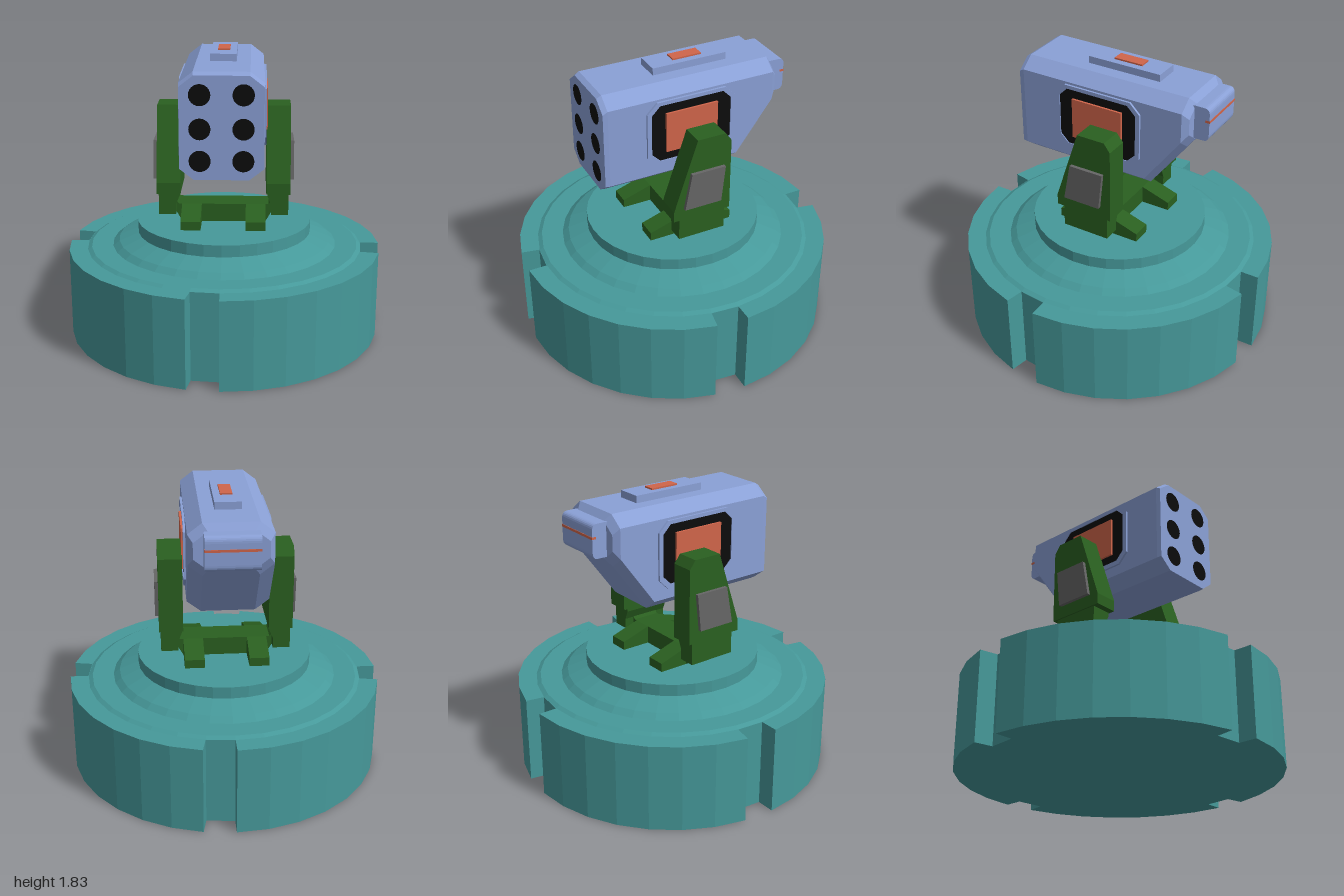
import * as THREE from 'three';

const mat = (color) => new THREE.MeshStandardMaterial({ color, flatShading: true });

export function createModel() {
  const root = new THREE.Group();
  const teal = mat(0x46999a), blue = mat(0x8aa0d6), green = mat(0x2a6020);
  const orange = mat(0xd0654a), black = mat(0x0c0c0c), grey = mat(0x666666);

  const add = (name, geo, material, parent = root) => {
    const m = new THREE.Mesh(geo, material);
    m.name = name;
    parent.add(m);
    return m;
  };
  const group = (name) => {
    const g = new THREE.Group();
    g.name = name;
    root.add(g);
    return g;
  };
  const toShape = (pts) => new THREE.Shape(pts.map(([a, b]) => new THREE.Vector2(a, b)));
  const extrude = (shape, depth) => new THREE.ExtrudeGeometry(shape, { depth, bevelEnabled: false, curveSegments: 6 });
  // Side profile given as [z, y], spanning x0..x1
  const prismX = (shape, x0, x1) => extrude(shape, x1 - x0).rotateY(-Math.PI / 2).translate(x1, 0, 0);
  // Box from its limits
  const box = (x0, x1, y0, y1, z0, z1) => new THREE.BoxGeometry(x1 - x0, y1 - y0, z1 - z0)
    .translate((x0 + x1) / 2, (y0 + y1) / 2, (z0 + z1) / 2);
  // Rectangle with cut corners
  const octagon = (x0, x1, y0, y1, cx, cy = cx) => [
    [x0 + cx, y0], [x1 - cx, y0], [x1, y0 + cy], [x1, y1 - cy],
    [x1 - cx, y1], [x0 + cx, y1], [x0, y1 - cy], [x0, y0 + cy]];

  // Base: 32-sided drum with one notched segment per quarter
  const base = group('base');
  const outline = [];
  for (let i = 0; i < 32; i++) {
    const a = (i / 32) * Math.PI * 2, c = Math.cos(a), s = Math.sin(a);
    const inner = [c * 0.885, s * 0.885], outer = [c, s];
    if (i % 8 === 0) outline.push(outer, inner);
    else if (i % 8 === 1) outline.push(inner, outer);
    else outline.push(outer);
  }
  add('drum', extrude(toShape(outline), 0.56).rotateX(Math.PI / 2).translate(0, 0.56, 0), teal, base);
  const steps = [[0.883, 0.56], [0.857, 0.574], [0.72, 0.574], [0.68, 0.605], [0.556, 0.655], [0.556, 0.73], [0, 0.73]];
  add('turntable', new THREE.LatheGeometry(steps.map(([r, y]) => new THREE.Vector2(r, y)), 32), teal, base);

  // Yoke: crossbar, feet, and two arms with panels
  const yoke = group('yoke');
  const bar = [[-0.265, 0.73], [0.265, 0.73], [0.305, 0.8], [0.305, 0.87], [0.285, 0.845],
    [-0.285, 0.845], [-0.305, 0.87], [-0.305, 0.8]];
  add('crossbar', extrude(toShape(bar), 0.18).translate(0, 0, -0.09), green, yoke);
  const foot = toShape([[-0.28, 0.73], [0.28, 0.73], [0.28, 0.785], [0.09, 0.845], [-0.09, 0.845], [-0.28, 0.785]]);
  const arm = toShape([[-0.185, 0.94], [0.195, 0.94], [0.195, 1.01], [0.04, 1.475], [-0.145, 1.475], [-0.185, 1.42]]);
  const armPanel = toShape([[-0.115, 1.02], [0.13, 1.02], [0.085, 1.26], [-0.14, 1.26]]);
  for (const s of [1, -1]) {
    const side = s > 0 ? 'left' : 'right';
    const span = (shape, a, b) => prismX(shape, Math.min(a * s, b * s), Math.max(a * s, b * s));
    add(side + 'Foot', span(foot, 0.14, 0.265), green, yoke);
    const block = [[0.3, 0.795], [0.408, 0.795], [0.408, 0.94], [0.275, 0.94], [0.275, 0.92], [0.3, 0.86]];
    add(side + 'ArmBlock', extrude(toShape(block.map(([x, y]) => [x * s, y])), 0.31).translate(0, 0, -0.155), green, yoke);
    add(side + 'Arm', span(arm, 0.268, 0.418), green, yoke);
    add(side + 'ArmPanel', span(armPanel, 0.418, 0.44), grey, yoke);
  }

  // Launcher body: cut-corner sections from front to back [z, halfWidth, bottom, top]
  const launcher = group('launcher');
  const sections = [
    [0.56, 0.247, 1.137, 1.752], [0.53, 0.25, 1.135, 1.77], [-0.32, 0.25, 1.135, 1.77],
    [-0.555, 0.25, 1.453, 1.77], [-0.59, 0.22, 1.5, 1.73]];
  const pos = [], idx = [];
  sections.forEach(([z, w, b, t], k) => {
    octagon(-w, w, b, t, 0.085, 0.066).forEach(([x, y]) => pos.push(x, y, z));
    if (k === 0) return;
    for (let i = 0; i < 8; i++) {
      const j = (i + 1) % 8, p = (k - 1) * 8, q = k * 8;
      idx.push(p + i, q + i, p + j, p + j, q + i, q + j);
    }
  });
  const last = (sections.length - 1) * 8;
  for (let i = 1; i < 7; i++) idx.push(0, i, i + 1, last, last + i + 1, last + i);
  const indexed = new THREE.BufferGeometry();
  indexed.setAttribute('position', new THREE.Float32BufferAttribute(pos, 3));
  indexed.setIndex(idx);
  const body = indexed.toNonIndexed();
  body.computeVertexNormals();
  add('body', body, blue, launcher);

  // Six tube mouths on the front face
  for (const x of [-0.127, 0.127]) for (const y of [1.25, 1.44, 1.64]) {
    add('tubeMouth', new THREE.CircleGeometry(0.064, 24).translate(x, y, 0.563), black, launcher);
  }

  // Side panels: raised frame, dark inset, coloured plate
  for (const s of [1, -1]) {
    const frame = toShape(octagon(-0.29, 0.29, 1.265, 1.69, 0.065));
    const opening = octagon(-0.262, 0.262, 1.295, 1.667, 0.055);
    frame.holes.push(new THREE.Path(opening.map(([a, b]) => new THREE.Vector2(a, b))));
    const layer = (shape, out) => prismX(shape, s > 0 ? 0.24 : -out, s > 0 ? out : -0.24);
    add('sideFrame', layer(frame, 0.264), blue, launcher);
    add('sideInset', layer(toShape(opening), 0.258), black, launcher);
    add('sidePlate', layer(toShape([[-0.17, 1.352], [0.17, 1.352], [0.17, 1.61], [-0.17, 1.61]]), 0.272), orange, launcher);
  }

  // Top plate with light
  add('topPlate', box(-0.08, 0.08, 1.76, 1.815, -0.32, 0.165), blue, launcher);
  add('topLight', box(-0.037, 0.037, 1.81, 1.825, -0.175, 0.013), orange, launcher);

  // Rear housing with rounded back edges and a thin stripe
  const rear = new THREE.Shape();
  rear.moveTo(-0.57, 1.52);
  rear.lineTo(-0.57, 1.73);
  rear.lineTo(-0.65, 1.73);
  rear.quadraticCurveTo(-0.686, 1.73, -0.686, 1.69);
  rear.lineTo(-0.686, 1.56);
  rear.quadraticCurveTo(-0.686, 1.52, -0.65, 1.52);
  add('rearHousing', prismX(rear, -0.16, 0.16), blue, launcher);
  add('rearStripe', box(-0.161, 0.161, 1.64, 1.655, -0.689, -0.66), orange, launcher);

  return root;
}
